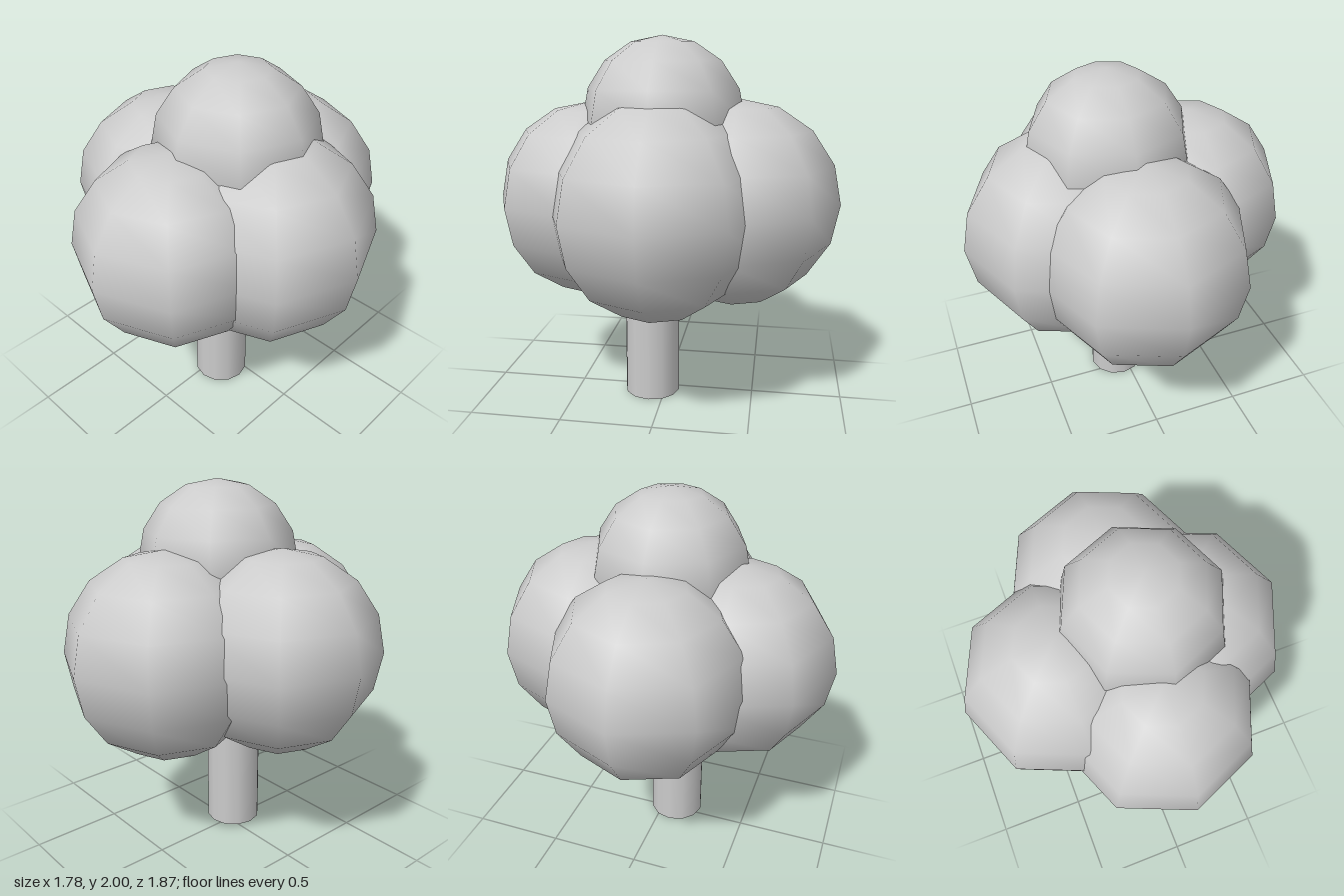
import * as THREE from 'three';

export function createModel() {
  const tree = new THREE.Group();
  tree.name = 'tree';
  const leafMaterial = new THREE.MeshStandardMaterial({ color: 0xcccccc });
  const trunkMaterial = new THREE.MeshStandardMaterial({ color: 0xcccccc, side: THREE.DoubleSide });

  // Trunk: plain tube, open at the ends, its top hidden in the foliage
  const trunkHeight = 1.1;
  const trunk = new THREE.Mesh(
    new THREE.CylinderGeometry(0.154, 0.154, trunkHeight, 12, 1, true),
    trunkMaterial
  );
  trunk.name = 'trunk';
  trunk.position.set(0.047, trunkHeight / 2, 0.075);
  tree.add(trunk);

  // Foliage: overlapping low-poly balls [name, radius, x, y, z]
  const foliage = new THREE.Group();
  foliage.name = 'foliage';
  const balls = [
    ['rightFoliage', 0.535, -0.355, 1.157, 0.042],
    ['leftFoliage', 0.57, 0.32, 1.125, 0.003],
    ['frontFoliage', 0.528, 0.046, 1.127, 0.407],
    ['backFoliage', 0.552, 0.048, 1.127, -0.387],
    ['topFoliage', 0.434, 0.1, 1.566, 0.006],
  ];
  for (const [name, radius, x, y, z] of balls) {
    const ball = new THREE.Mesh(new THREE.SphereGeometry(radius, 8, 8), leafMaterial);
    ball.name = name;
    ball.position.set(x, y, z);
    foliage.add(ball);
  }
  tree.add(foliage);

  return tree;
}
